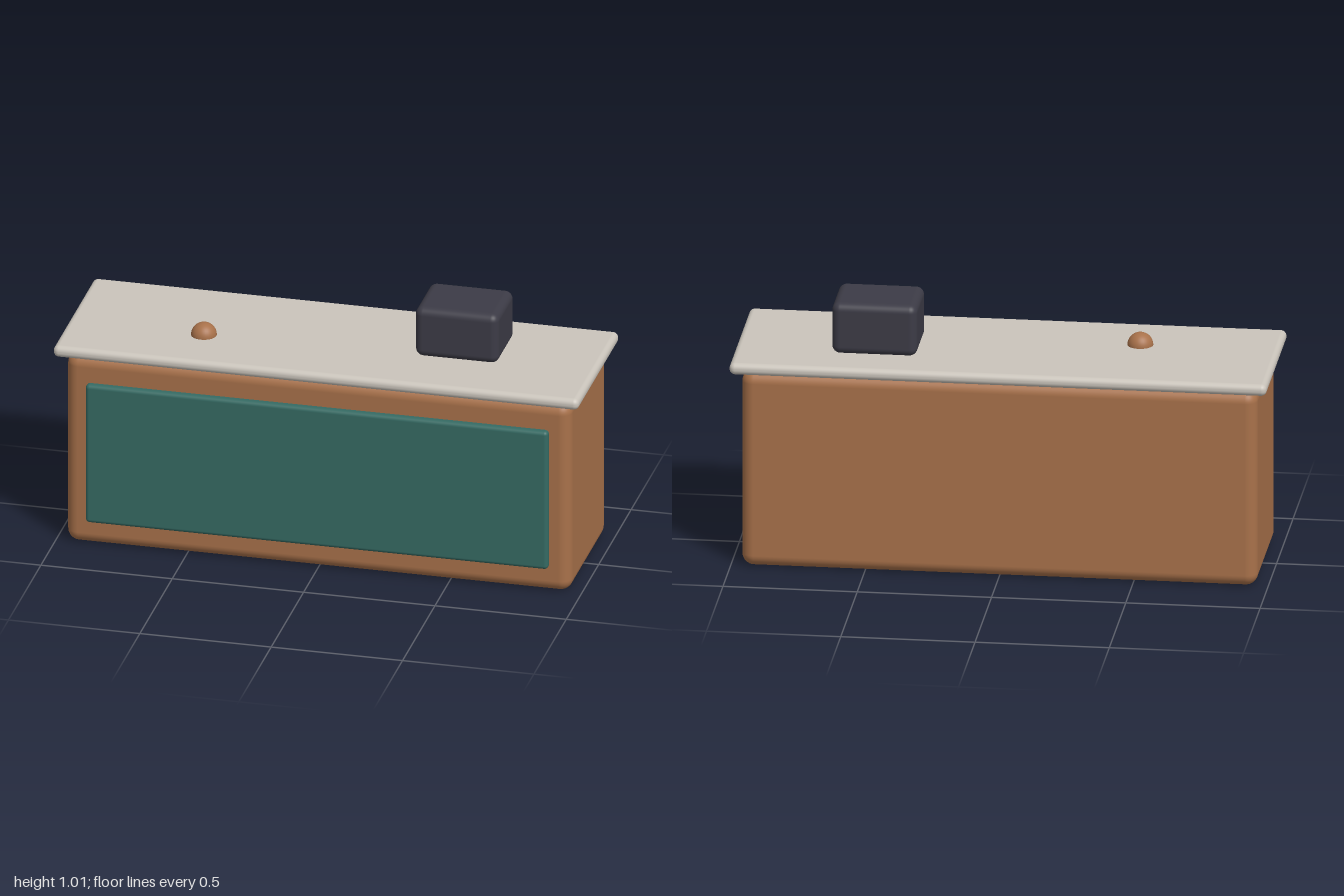
import * as THREE from 'three';
import { RoundedBoxGeometry } from 'three/addons/geometries/RoundedBoxGeometry.js';

function material(name, color) {
  const m = new THREE.MeshStandardMaterial({ color });
  m.name = name;
  return m;
}

export function createModel() {
  const group = new THREE.Group();
  group.name = 'serviceCounter';

  const wood = material('wood', 0xa8714a);
  const teal = material('teal', 0x356a63);
  const stone = material('stone', 0xcac4bb);
  const charcoal = material('charcoal', 0x3c3b46);

  // Rounded box given by its lower and upper corners
  function block(name, mat, min, max, radius) {
    const size = max.map((v, i) => v - min[i]);
    const mesh = new THREE.Mesh(new RoundedBoxGeometry(...size, 5, radius), mat);
    mesh.position.set(...max.map((v, i) => (v + min[i]) / 2));
    mesh.name = name;
    group.add(mesh);
  }

  block('counterBody', wood, [-0.96, 0, -0.28], [0.96, 0.763, 0.28], 0.045);
  block('frontPanel', teal, [-0.88, 0.098, 0.255], [0.88, 0.658, 0.305], 0.015);
  block('countertop', stone, [-1, 0.763, -0.32], [1, 0.808, 0.32], 0.021);
  block('cashRegister', charcoal, [0.32, 0.808, -0.168], [0.637, 1.006, 0.088], 0.03);

  // Half-dome service bell resting on the countertop
  const bell = new THREE.Mesh(
    new THREE.SphereGeometry(0.048, 32, 12, 0, Math.PI * 2, 0, Math.PI / 2), wood);
  bell.position.set(-0.483, 0.808, 0.08);
  bell.name = 'serviceBell';
  group.add(bell);

  return group;
}
